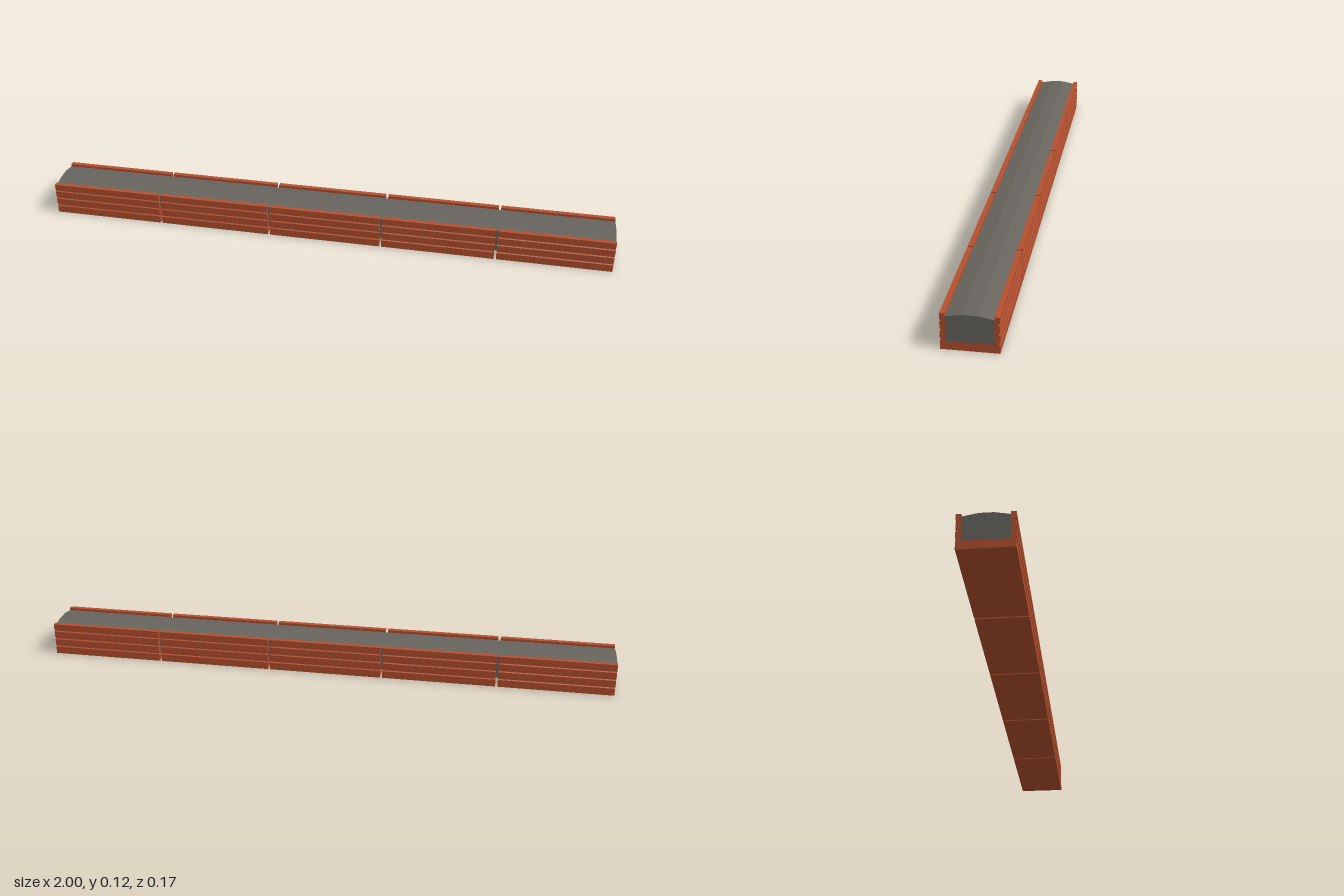
import * as THREE from 'three';

// Extrudes a (z, y) outline along x, centred on the given x
function extrudeAlongX(points, length, material, name, x = 0) {
  const shape = new THREE.Shape(points.map(([z, y]) => new THREE.Vector2(-z, y)));
  const geometry = new THREE.ExtrudeGeometry(shape, { depth: length, bevelEnabled: false });
  geometry.translate(0, 0, -length / 2).rotateY(Math.PI / 2);
  const mesh = new THREE.Mesh(geometry, material);
  mesh.name = name;
  mesh.position.x = x;
  return mesh;
}

export function createModel() {
  const group = new THREE.Group();
  group.name = 'channelBeam';
  const clay = new THREE.MeshStandardMaterial({ color: 0xb5502f });
  const concrete = new THREE.MeshStandardMaterial({ color: 0x68655f });

  const outer = 0.085, inner = 0.069, top = 0.115, floor = 0.027;
  const count = 5, gap = 0.008;
  const length = (2 - gap * (count - 1)) / count;

  // Half of the U-shaped tile, with three chamfered grooves on the outside
  const half = [[outer, 0]];
  for (const y of [0.031, 0.061, 0.091]) {
    half.push([outer, y - 0.005], [outer - 0.004, y - 0.0025],
      [outer - 0.004, y + 0.0025], [outer, y + 0.005]);
  }
  half.push([outer, top], [inner, top], [inner, floor]);
  const mirrored = half.map(([z, y]) => [-z, y]).reverse();
  const channel = [...half, ...mirrored];

  // Row of clay tiles with narrow open joints
  for (let i = 0; i < count; i++) {
    const x = (i - (count - 1) / 2) * (length + gap);
    group.add(extrudeAlongX(channel, length, clay, `clayChannel${i + 1}`, x));
  }

  // Continuous concrete fill with a low crown
  const fill = [[inner, floor], [inner, 0.106], [0.022, top],
    [-0.022, top], [-inner, 0.106], [-inner, floor]];
  group.add(extrudeAlongX(fill, 2, concrete, 'concreteCore'));

  return group;
}
